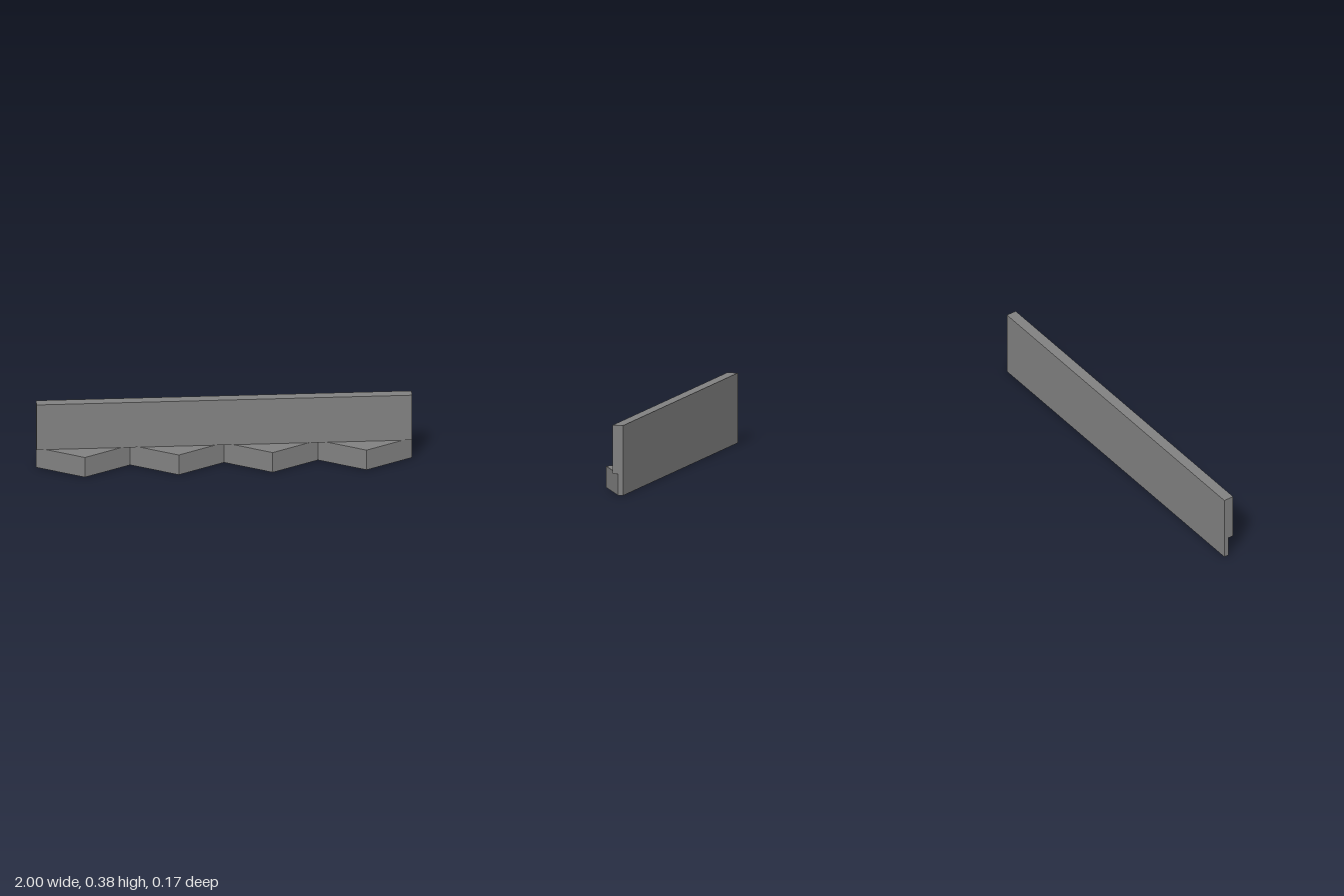
import * as THREE from 'three';

const BACK = -0.087, VALLEY = -0.058, PEAK = 0.087, FACE = -0.029;
const STEP = 0.115, TOP = 0.376;

export function createModel() {
  const group = new THREE.Group();
  const stone = new THREE.MeshStandardMaterial({ color: 0x808080 });
  stone.name = 'grey stone';

  // Flat upper band, overhanging the valleys of the teeth
  const band = new THREE.Mesh(new THREE.BoxGeometry(2, TOP - STEP, FACE - BACK), stone);
  band.name = 'upperBand';
  band.position.set(0, (STEP + TOP) / 2, (BACK + FACE) / 2);
  group.add(band);

  // Lower course: four pointed teeth along the front, flat at the back.
  // The plan is drawn with y = -z and then laid flat.
  const plan = new THREE.Shape();
  plan.moveTo(-1, -BACK);
  for (let i = 0; i <= 8; i++) plan.lineTo(-1 + i * 0.25, i % 2 ? -PEAK : -VALLEY);
  plan.lineTo(1, -BACK);
  plan.closePath();
  const teethGeometry = new THREE.ExtrudeGeometry(plan, { depth: STEP, bevelEnabled: false });
  teethGeometry.rotateX(-Math.PI / 2);
  const teeth = new THREE.Mesh(teethGeometry, stone);
  teeth.name = 'zigzagCourse';
  group.add(teeth);

  return group;
}
